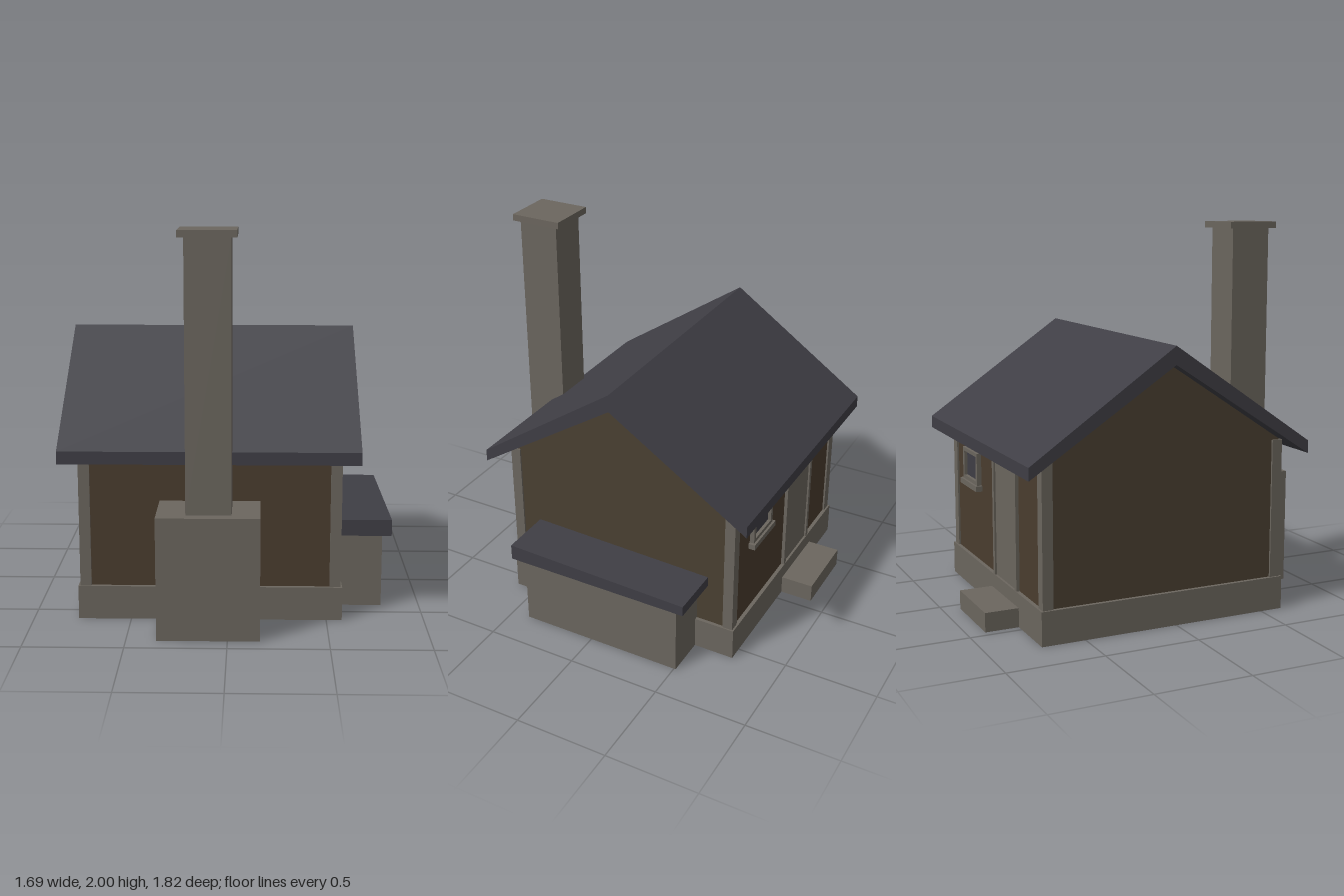
import * as THREE from 'three';

const mat = (name, color) => {
  const m = new THREE.MeshStandardMaterial({ color });
  m.name = name;
  return m;
};

export function createModel() {
  const house = new THREE.Group();
  house.name = 'cottage';
  const stone = mat('stone', 0x6b665e);
  const slate = mat('slate', 0x3f3e45);
  const timber = mat('timber', 0x4a3c2e);
  const gable = mat('gable timber', 0x4a4032);

  const add = (name, geometry, material) => {
    const mesh = new THREE.Mesh(geometry, material);
    mesh.name = name;
    house.add(mesh);
  };
  // Box given by its lower and upper limits on each axis
  const box = (name, material, x0, x1, y0, y1, z0, z1) => {
    const g = new THREE.BoxGeometry(x1 - x0, y1 - y0, z1 - z0);
    g.translate((x0 + x1) / 2, (y0 + y1) / 2, (z0 + z1) / 2);
    add(name, g, material);
  };
  // Profile of [z, y] points drawn out along x
  const prism = (name, material, x0, x1, points) => {
    const shape = new THREE.Shape(points.map(([z, y]) => new THREE.Vector2(-z, y)));
    const g = new THREE.ExtrudeGeometry(shape, { depth: x1 - x0, bevelEnabled: false });
    g.rotateY(Math.PI / 2).translate(x0, 0, 0);
    add(name, g, material);
  };

  // Plinth, walls and main roof
  box('plinth', stone, -0.77, 0.58, 0, 0.175, -0.73, 0.62);
  prism('walls', [gable, timber], -0.75, 0.562, [
    [0.6, 0.17], [0.6, 0.905], [-0.055, 1.338], [-0.71, 0.905], [-0.71, 0.17],
  ]);
  prism('roof', slate, -0.85, 0.66, [
    [0.71, 0.84], [0.71, 0.905], [-0.055, 1.43], [-0.82, 0.905], [-0.82, 0.84], [-0.055, 1.337],
  ]);

  // Corner posts
  for (const x of [-0.76, 0.515]) {
    for (const z of [-0.72, 0.555]) {
      box('cornerPost', stone, x, x + 0.057, 0.175, 0.903, z, z + 0.056);
    }
  }

  // Chimney on the front
  box('chimneyBase', stone, -0.35, 0.16, 0, 0.625, 0.59, 0.91);
  box('chimneyShaft', stone, -0.205, 0.02, 0.62, 1.97, 0.63, 0.853);
  box('chimneyCap', stone, -0.235, 0.047, 1.965, 2, 0.598, 0.882);

  // Lean-to on the left side
  box('leanTo', stone, 0.55, 0.8, 0, 0.405, -0.51, 0.4);
  prism('leanToRoof', slate, 0.55, 0.843, [
    [0.455, 0.4], [0.455, 0.485], [-0.57, 0.455], [-0.57, 0.4],
  ]);

  // Back door with frame and step
  box('doorStep', stone, -0.46, -0.065, 0, 0.1, -0.908, -0.72);
  box('door', stone, -0.4, -0.11, 0.17, 0.78, -0.718, -0.7);
  for (const x of [-0.425, -0.11]) {
    box('doorJamb', stone, x, x + 0.025, 0.17, 0.805, -0.728, -0.7);
  }
  box('doorLintel', stone, -0.4, -0.11, 0.78, 0.805, -0.728, -0.7);

  // Back window with frame and sill
  box('windowPane', slate, 0.155, 0.345, 0.615, 0.755, -0.718, -0.709);
  for (const x of [0.135, 0.345]) {
    box('windowJamb', stone, x, x + 0.022, 0.6, 0.775, -0.735, -0.7);
  }
  for (const y of [0.6, 0.755]) {
    box('windowRail', stone, 0.157, 0.345, y, y + 0.02, -0.735, -0.7);
  }
  box('windowSill', stone, 0.12, 0.382, 0.57, 0.6, -0.747, -0.7);

  return house;
}
